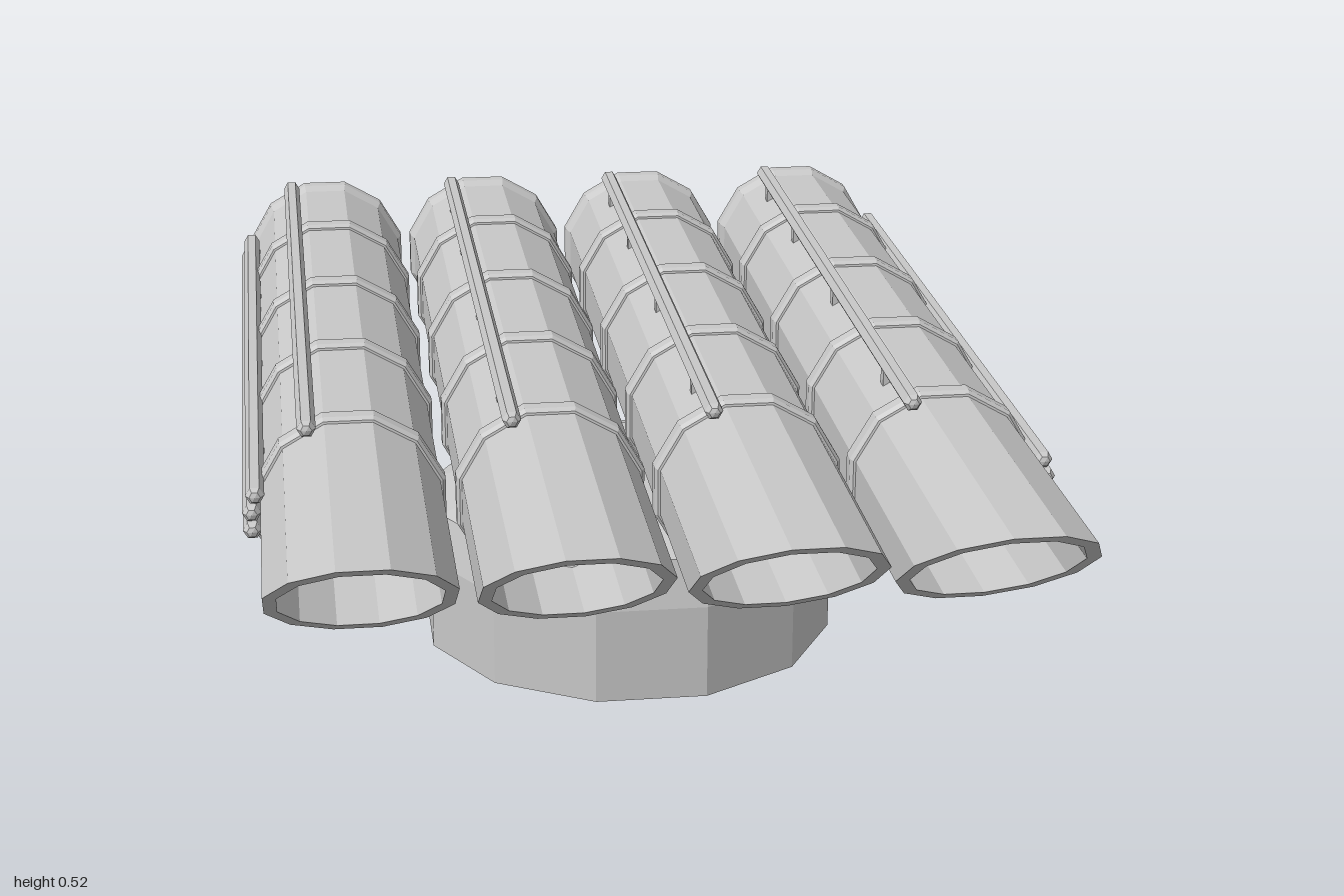
import * as THREE from 'three';

const steel = new THREE.MeshStandardMaterial({ color: 0xc8c8c8 });
steel.name = 'steelGrey';

// Faceted solid of revolution; profile is [radius, height], listed upward on the outside
function facetedLathe(profile, sides) {
  return new THREE.LatheGeometry(
    profile.map(([r, h]) => new THREE.Vector2(r, h)), sides, Math.PI / sides);
}

// Flat normals per face
function facet(geometry) {
  const flat = geometry.toNonIndexed();
  flat.computeVertexNormals();
  return flat;
}

function part(name, geometry, x = 0, y = 0, z = 0) {
  const mesh = new THREE.Mesh(facet(geometry), steel);
  mesh.name = name;
  mesh.position.set(x, y, z);
  return mesh;
}

// Hollow barrel along z with a chamfered rear collar and a slanted muzzle
function barrelGeometry() {
  const g = facetedLathe([
    [0, -1], [0.128, -1], [0.146, -0.99], [0.156, -0.973], [0.156, -0.95], [0.148, -0.933],
    [0.148, 1], [0.127, 1], [0.127, -0.9], [0, -0.9],
  ], 12).rotateX(Math.PI / 2);
  const p = g.attributes.position;
  for (let i = 0; i < p.count; i++) {
    if (p.getZ(i) > 0.9) p.setZ(i, 1 - (0.143 - p.getY(i)) * 1.53);
  }
  return g;
}

// Raised ring around a barrel
function bandGeometry() {
  return facetedLathe([
    [0.14, -0.022], [0.152, -0.02], [0.157, -0.012], [0.157, 0.012], [0.152, 0.02], [0.14, 0.022],
  ], 12).rotateX(Math.PI / 2);
}

// Thin pipe with rounded ends
function pipeGeometry() {
  const r = 0.015, h = 0.7;
  return facetedLathe([
    [0, -h], [r * 0.6, -h + 0.003], [r, -h + 0.012], [r, h - 0.012], [r * 0.6, h - 0.003], [0, h],
  ], 6).rotateX(Math.PI / 2);
}

export function createModel() {
  const model = new THREE.Group();
  model.name = 'barrelLauncher';

  // Pedestal with a domed shoulder
  model.add(part('pedestal', facetedLathe([
    [0, 0], [0.355, 0], [0.355, 0.16], [0.337, 0.24], [0.25, 0.267], [0, 0.267],
  ], 12), 0, 0, 0.108));

  // Four barrels, each with bands and a top pipe on clips
  [-0.479, -0.159, 0.161, 0.481].forEach((x) => {
    const unit = new THREE.Group();
    unit.name = 'barrelUnit';
    unit.position.set(x, 0.349, 0);
    unit.add(part('barrel', barrelGeometry()));
    [0.392, 0.035, -0.322, -0.679].forEach((z) => unit.add(part('band', bandGeometry(), 0, 0, z)));
    unit.add(part('topPipe', pipeGeometry(), -0.067, 0.159, -0.216));
    [0.28, -0.15, -0.54, -0.83].forEach((z) =>
      unit.add(part('pipeClip', new THREE.BoxGeometry(0.016, 0.04, 0.02), -0.067, 0.137, z)));
    model.add(unit);
  });

  // Three pipes along each outer flank
  [-1, 1].forEach((side) => {
    [[0.63, 0.404], [0.636, 0.375], [0.636, 0.346]].forEach(([x, y]) =>
      model.add(part('sidePipe', pipeGeometry(), side * x, y, -0.207)));
    [0.28, -0.15, -0.54, -0.83].forEach((z) =>
      model.add(part('sidePipeClip', new THREE.BoxGeometry(0.02, 0.06, 0.02), side * 0.622, 0.372, z)));
  });

  return model;
}
